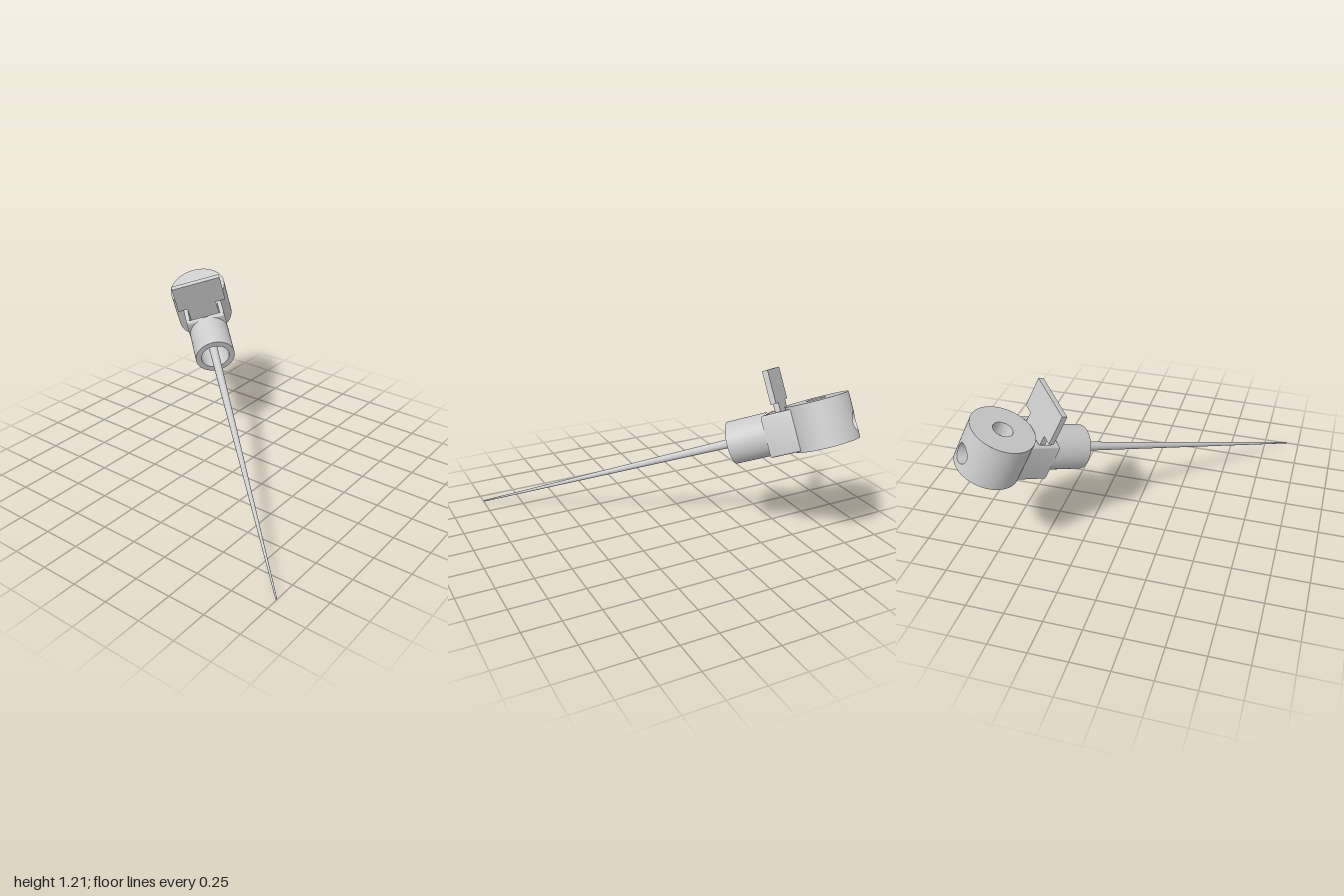
import * as THREE from 'three';
import { toCreasedNormals } from 'three/addons/utils/BufferGeometryUtils.js';

const material = new THREE.MeshStandardMaterial({ color: 0xcccccc });

// Local frame: x runs along the rod from its tip, y is the drum axis, z is sideways
const DRUM_X = 2.54, R = 0.203, TOP = 0.147, BOTTOM = -0.148;

function part(name, geometry, sharp = true) {
  const mesh = new THREE.Mesh(sharp ? toCreasedNormals(geometry, 0.6) : geometry, material);
  mesh.name = name;
  return mesh;
}

function lathe(points, segments = 64) {
  return new THREE.LatheGeometry(points.map(p => new THREE.Vector2(...p)), segments);
}

function polygon(points) {
  return new THREE.Shape(points.map(p => new THREE.Vector2(...p)));
}

// Skin over closed rings of equal length
function loft(rings) {
  const n = rings[0].length, index = [];
  for (let i = 0; i < rings.length - 1; i++) {
    for (let k = 0; k < n; k++) {
      const a = i * n + k, b = i * n + (k + 1) % n;
      index.push(a, b, a + n, b, b + n, a + n);
    }
  }
  const g = new THREE.BufferGeometry();
  g.setAttribute('position', new THREE.Float32BufferAttribute(rings.flat(2), 3));
  g.setIndex(index);
  g.computeVertexNormals();
  return g;
}

// Piece of the drum wall pierced by a blind radial hole
function piercedWall(halfAngle, holeR, holeY, floorX) {
  const corners = [[1, 0], [1, 1], [0, 1], [0, 0]];
  const steps = 12, edge = [];
  corners.forEach((c, i) => {
    const next = corners[(i + 1) % 4];
    for (let k = 0; k < steps; k++) {
      const t = k / steps;
      const u = c[0] + (next[0] - c[0]) * t, v = c[1] + (next[1] - c[1]) * t;
      edge.push([(2 * u - 1) * halfAngle * R, BOTTOM + (TOP - BOTTOM) * v]);
    }
  });
  const hole = edge.map(([s, y]) => {
    const a = Math.atan2(y - holeY, s);
    return [holeR * Math.cos(a), holeY + holeR * Math.sin(a)];
  });
  const rings = [
    hole.map(() => [floorX, holeY, 0]),
    hole.map(([z, y]) => [floorX, y, z]),
  ];
  for (let j = 0; j <= 6; j++) {
    const t = j / 6;
    rings.push(hole.map(([z, y], k) => {
      const angle = Math.asin(z / R) * (1 - t) + (edge[k][0] / R) * t;
      return [R * Math.cos(angle), y * (1 - t) + edge[k][1] * t, R * Math.sin(angle)];
    }));
  }
  return loft(rings);
}

function createDrum() {
  const drum = new THREE.Group();
  drum.name = 'drum';
  drum.position.x = DRUM_X;
  // End faces with the counterbored hole between them
  drum.add(part('drumFacesAndBore', lathe([
    [R, TOP], [0.063, TOP], [0.063, 0.055], [0.03, 0.055], [0.03, BOTTOM], [R, BOTTOM],
  ])));
  // Side wall: plain arc plus the pierced piece at the far end
  const half = 0.6;
  drum.add(part('drumWall', new THREE.CylinderGeometry(
    R, R, TOP - BOTTOM, 56, 1, true, Math.PI / 2 + half, 2 * Math.PI - 2 * half), false));
  drum.children[1].position.y = (TOP + BOTTOM) / 2;
  drum.add(part('drumWallWithSideHole', piercedWall(half, 0.062, -0.04, 0.09)));
  return drum;
}

function createBlock() {
  // Outline seen along the drum axis, with a slot for the plate
  const outline = polygon([[2.2, -0.141], [2.45, -0.141], [2.45, 0.141], [2.2, 0.141]]);
  outline.holes.push(polygon([[2.24, -0.11], [2.24, 0.11], [2.335, 0.11], [2.335, -0.11]]));
  const bevel = 0.012;
  const g = new THREE.ExtrudeGeometry(outline, {
    depth: 0.27 - 2 * bevel, bevelThickness: bevel, bevelSize: bevel,
    bevelOffset: -bevel, bevelSegments: 3,
  });
  g.rotateX(Math.PI / 2);
  g.translate(0, 0.13 - bevel, 0);
  return part('block', g);
}

function createPlate() {
  // Wide head on a narrower tab that drops into the slot
  const head = 0.174, tab = 0.105;
  const shape = polygon([
    [-tab, -0.1], [tab, -0.1], [tab, 0.187], [head, 0.187],
    [head, 0.4], [-head, 0.4], [-head, 0.187], [-tab, 0.187],
  ]);
  const g = new THREE.ExtrudeGeometry(shape, { depth: 0.035, bevelEnabled: false });
  g.rotateY(-Math.PI / 2);
  g.translate(2.325, 0, 0);
  return part('slidingPlate', g);
}

export function createModel() {
  const model = new THREE.Group();
  model.name = 'model';
  const tilted = new THREE.Group();
  tilted.name = 'tiltedAssembly';

  // Tapered rod
  const rod = new THREE.CylinderGeometry(0.032, 0.005, 2.16, 32);
  rod.rotateZ(-Math.PI / 2);
  rod.translate(1.08, 0, 0);
  tilted.add(part('taperedRod', rod));

  // Collar with a blind bore around the rod
  const collar = lathe([[0, 2.13], [0.1, 2.13], [0.1, 1.943], [0.14, 1.943], [0.14, 2.215]]);
  collar.rotateZ(-Math.PI / 2);
  tilted.add(part('collar', collar));

  tilted.add(createBlock(), createPlate(), createDrum());

  // Tilt the whole assembly about the rod tip
  const along = new THREE.Vector3(0.619, 0.344, -0.706).normalize();
  const up = new THREE.Vector3(-0.41, 0.908, 0.083);
  up.addScaledVector(along, -up.dot(along)).normalize();
  const side = new THREE.Vector3().crossVectors(along, up);
  tilted.quaternion.setFromRotationMatrix(new THREE.Matrix4().makeBasis(along, up, side));
  tilted.position.set(-0.908, 0.006, 0.996);
  model.add(tilted);
  return model;
}
